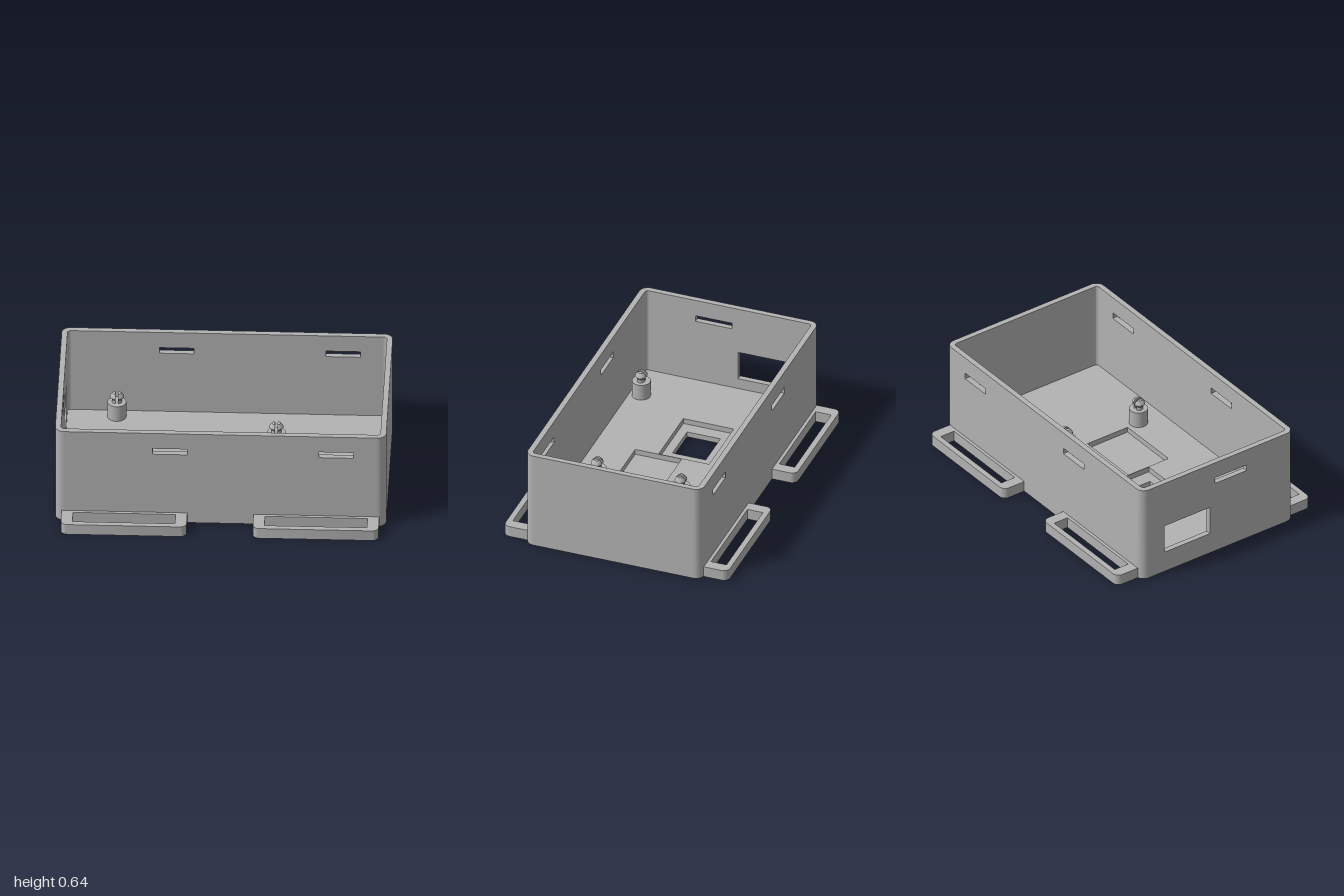
import * as THREE from 'three';
import { toCreasedNormals } from 'three/addons/utils/BufferGeometryUtils.js';

const W = 1, D = 0.57, H = 0.64;      // half width, half depth, height
const T = 0.035, R = 0.055;           // wall thickness, outer corner radius
const FLOOR = 0.07, POCKET = 0.035;   // floor top, pocket bottom

const grey = new THREE.MeshStandardMaterial({ color: 0xb2b2b2 });
grey.name = 'grey plastic';

// Rectangle outline with optional rounded corners
function rect(path, x0, y0, x1, y1, r = 0) {
  if (r === 0) {
    path.moveTo(x0, y0).lineTo(x1, y0).lineTo(x1, y1).lineTo(x0, y1).closePath();
    return path;
  }
  path.absarc(x1 - r, y0 + r, r, -Math.PI / 2, 0);
  path.absarc(x1 - r, y1 - r, r, 0, Math.PI / 2);
  path.absarc(x0 + r, y1 - r, r, Math.PI / 2, Math.PI);
  path.absarc(x0 + r, y0 + r, r, Math.PI, Math.PI * 1.5);
  path.closePath();
  return path;
}

function extrude(shape, depth) {
  const g = new THREE.ExtrudeGeometry(shape, { depth, bevelEnabled: false, curveSegments: 10 });
  return toCreasedNormals(g, 0.6);
}

// Horizontal plate; outline and holes are [x0, z0, x1, z1]
function plate([x0, z0, x1, z1], holes, r, y0, y1) {
  const shape = rect(new THREE.Shape(), x0, -z1, x1, -z0, r);
  for (const [a, b, c, d] of holes) shape.holes.push(rect(new THREE.Path(), a, -d, c, -b));
  return extrude(shape, y1 - y0).rotateX(-Math.PI / 2).translate(0, y0, 0);
}

// Upright wall; holes are [u0, y0, u1, y1]
function wall(half, holes) {
  const shape = rect(new THREE.Shape(), -half, 0, half, H);
  for (const h of holes) shape.holes.push(rect(new THREE.Path(), ...h));
  return extrude(shape, T);
}

export function createModel() {
  const model = new THREE.Group();
  model.name = 'enclosure';
  const add = (name, geometry, parent = model) => {
    const mesh = new THREE.Mesh(geometry, grey);
    mesh.name = name;
    parent.add(mesh);
    return mesh;
  };

  // Walls with vent slots; the -x end also has a socket window
  const slots = [[-0.41, 0.49, -0.2, 0.53], [0.595, 0.49, 0.805, 0.53]];
  add('frontWall', wall(W - R, slots).translate(0, 0, D - T));
  add('backWall', wall(W - R, slots).translate(0, 0, -D));
  const ends = [[-0.02, 0.49, 0.215, 0.53], [-0.4, 0.14, -0.06, 0.33]];
  add('rightWall', wall(D - R, ends).rotateY(-Math.PI / 2).translate(-W + T, 0, 0));
  add('leftWall', wall(D - R, []).rotateY(-Math.PI / 2).translate(W, 0, 0));

  // Rounded vertical corners
  const arc = new THREE.Shape();
  arc.absarc(0, 0, R, 0, Math.PI / 2, false);
  arc.absarc(0, 0, R - T, Math.PI / 2, 0, true);
  const cornerGeometry = extrude(arc, H).rotateX(-Math.PI / 2);
  [[1, -1], [-1, -1], [-1, 1], [1, 1]].forEach(([sx, sz], k) => {
    const corner = add('wallCorner', cornerGeometry);
    corner.rotation.y = k * Math.PI / 2;
    corner.position.set(sx * (W - R), 0, sz * (D - R));
  });

  // Floor: lower layer with an opening, upper layer with two shallow pockets
  const inner = [-W + T, -D + T, W - T, D - T];
  add('floorBase', plate(inner, [[-0.455, -0.14, -0.205, 0.075]], R - T, 0, POCKET));
  add('floorTop', plate(inner, [[-0.535, -0.195, -0.117, 0.13], [-0.112, -0.02, 0.305, 0.28]],
    R - T, POCKET, FLOOR));

  // Strap loops on both long sides
  for (const side of [1, -1]) {
    for (const end of [1, -1]) {
      const shape = new THREE.Shape();
      shape.moveTo(-0.38, -0.01).lineTo(0.38, -0.01);
      shape.absarc(0.34, 0.115, 0.04, 0, Math.PI / 2);
      shape.absarc(-0.34, 0.115, 0.04, Math.PI / 2, Math.PI);
      shape.closePath();
      shape.holes.push(rect(new THREE.Path(), -0.31, 0.02, 0.31, 0.12));
      const loop = add('strapLoop', extrude(shape, FLOOR).rotateX(-Math.PI / 2));
      loop.rotation.y = side > 0 ? Math.PI : 0;
      loop.position.set(end * 0.58, 0, side * D);
    }
  }

  // Board posts with split snap pins
  const profile = [[0, 0], [0.022, 0], [0.022, 0.022], [0.035, 0.038], [0.033, 0.048], [0.018, 0.065], [0, 0.068]]
    .map(([x, y]) => new THREE.Vector2(x, y));
  const mirrored = profile.slice(1, -1).reverse().map(p => new THREE.Vector2(-p.x, p.y));
  const pinSide = toCreasedNormals(new THREE.LatheGeometry(profile, 14, 0, Math.PI), 0.6);
  const pinFlat = new THREE.ShapeGeometry(new THREE.Shape([...profile, ...mirrored])).rotateY(-Math.PI / 2);
  const postTop = 0.175;
  const postGeometry = new THREE.CylinderGeometry(0.057, 0.057, postTop - FLOOR, 32);
  for (const [x, z] of [[-0.665, -0.47], [-0.69, 0.46], [0.31, -0.175], [0.31, 0.365]]) {
    const post = new THREE.Group();
    post.name = 'boardPost';
    post.position.set(x, postTop, z);
    add('postBase', postGeometry, post).position.y = (FLOOR - postTop) / 2;
    for (const s of [1, -1]) {
      const half = new THREE.Group();
      half.name = 'snapPinHalf';
      half.rotation.y = s > 0 ? 0 : Math.PI;
      half.position.x = s * 0.008;
      add('pinSide', pinSide, half);
      add('pinFlat', pinFlat, half);
      post.add(half);
    }
    model.add(post);
  }
  return model;
}
